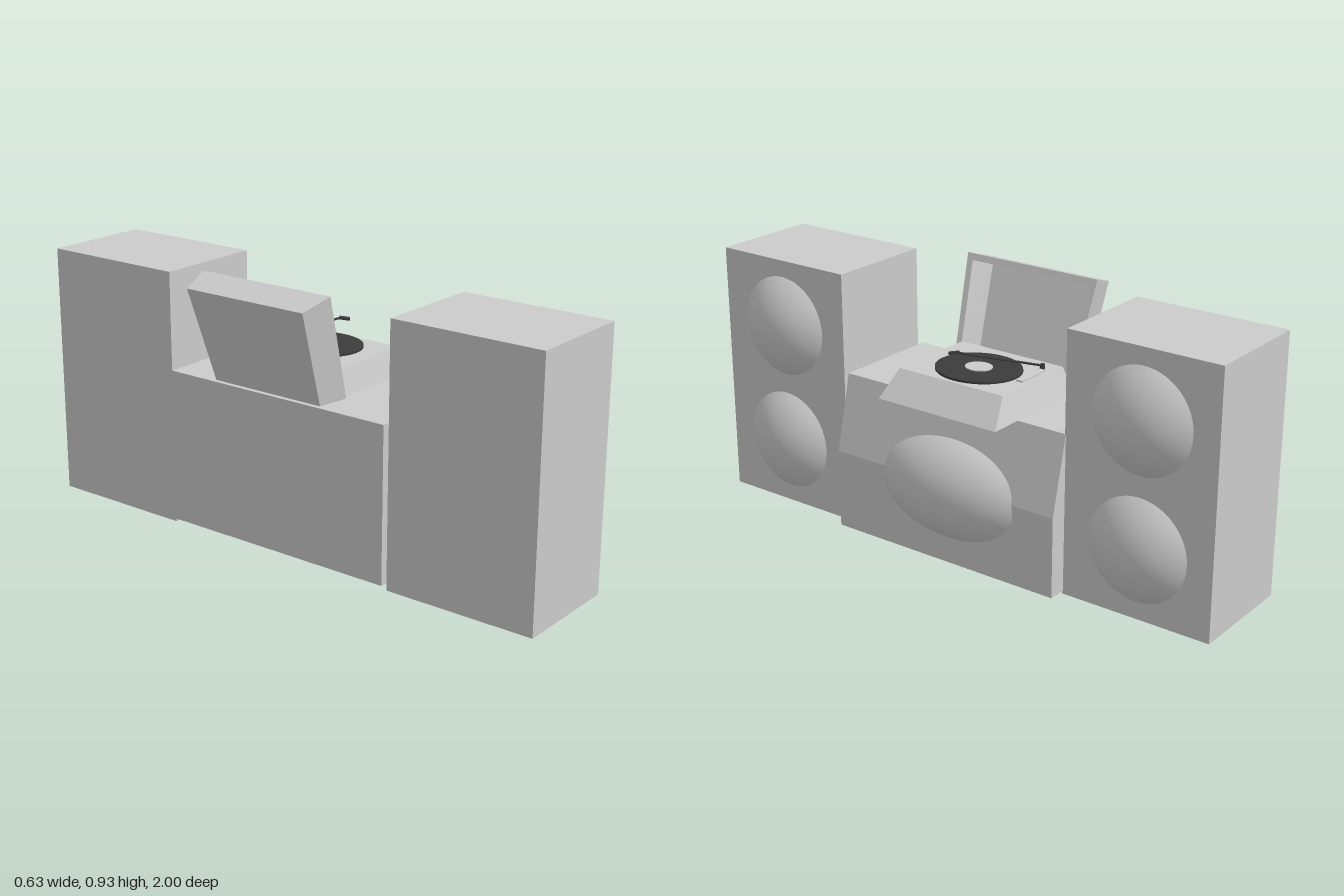
import * as THREE from 'three';

const grey = new THREE.MeshStandardMaterial({ color: 0xcccccc });
const flat = new THREE.MeshStandardMaterial({ color: 0xcccccc, flatShading: true });
const black = new THREE.MeshStandardMaterial({ color: 0x3c3c3c });

function add(parent, name, geometry, material, x = 0, y = 0, z = 0) {
  const mesh = new THREE.Mesh(geometry, material);
  mesh.name = name;
  mesh.position.set(x, y, z);
  parent.add(mesh);
  return mesh;
}

// Skin a row of four-cornered loops and close both ends
function loft(loops) {
  const out = [];
  const quad = (a, b, c, d) => out.push(...a, ...b, ...c, ...a, ...c, ...d);
  const first = loops[0], last = loops[loops.length - 1];
  quad(...first);
  for (let k = 0; k < loops.length - 1; k++) {
    const a = loops[k], b = loops[k + 1];
    for (let i = 0; i < 4; i++) {
      const j = (i + 1) % 4;
      quad(a[i], b[i], b[j], a[j]);
    }
  }
  quad(last[0], last[3], last[2], last[1]);
  const geometry = new THREE.BufferGeometry();
  geometry.setAttribute('position', new THREE.Float32BufferAttribute(out, 3));
  geometry.computeVertexNormals();
  return geometry;
}

// Horizontal rectangle, and upright tapered rectangle for the lid
const level = (y, x0, x1, z0, z1) => [[x0, y, z0], [x1, y, z0], [x1, y, z1], [x0, y, z1]];
const upright = (xt, yt, zt0, zt1, xb, yb, zb0, zb1) =>
  [[xt, yt, zt0], [xt, yt, zt1], [xb, yb, zb1], [xb, yb, zb0]];

// Shallow spherical cap bulging along +x from its base plane
function dome(radius, height) {
  const R = (radius * radius + height * height) / (2 * height);
  const g = new THREE.SphereGeometry(R, 48, 16, 0, Math.PI * 2, 0, Math.asin(radius / R));
  g.translate(0, height - R, 0);
  g.rotateZ(-Math.PI / 2);
  return g;
}

export function createModel() {
  const model = new THREE.Group();
  model.name = 'recordPlayerWithSpeakers';

  // Two tall speakers, each with two domes
  for (const side of [1, -1]) {
    const speaker = new THREE.Group();
    speaker.name = side > 0 ? 'leftSpeaker' : 'rightSpeaker';
    add(speaker, 'speakerBox', new THREE.BoxGeometry(0.396, 0.902, 0.543), grey, -0.015, 0.451, side * 0.7285);
    for (const y of [0.238, 0.665])
      add(speaker, 'speakerDome', dome(0.178, 0.072), grey, 0.183, y, side * 0.732);
    model.add(speaker);
  }

  // Middle cabinet with a sloping upper front
  const profile = new THREE.Shape([
    [-0.213, 0.01], [0.247, 0.01], [0.247, 0.29], [0.183, 0.556], [-0.213, 0.556],
  ].map(([x, y]) => new THREE.Vector2(x, y)));
  const cabinet = new THREE.ExtrudeGeometry(profile, { depth: 0.897, bevelEnabled: false });
  add(model, 'cabinet', cabinet, grey, 0, 0, -0.46);
  const bulge = add(model, 'cabinetDome', new THREE.SphereGeometry(0.217, 64, 40), grey, 0.096, 0.258, -0.034);
  bulge.scale.z = 1.73;

  // Turntable body with sloping sides
  const turntable = new THREE.Group();
  turntable.name = 'turntable';
  model.add(turntable);
  add(turntable, 'turntableBody', loft([
    level(0.563, -0.11, 0.315, -0.285, 0.19),
    level(0.652, -0.095, 0.237, -0.255, 0.163),
  ]), flat);

  // Record, label and control strip
  const disc = (name, r, h, y, material) => {
    const d = add(turntable, name, new THREE.CylinderGeometry(r, r, h, 48), material, 0.09, y, -0.05);
    d.scale.z = 1.13;
  };
  disc('record', 0.133, 0.008, 0.656, black);
  disc('recordLabel', 0.042, 0.004, 0.661, grey);
  add(turntable, 'controlStrip', new THREE.BoxGeometry(0.13, 0.006, 0.026), grey, 0.04, 0.654, -0.223);

  // Raised tone arm
  const start = new THREE.Vector3(-0.035, 0.665, -0.215);
  const end = new THREE.Vector3(0.185, 0.733, -0.03);
  add(turntable, 'toneArm', new THREE.TubeGeometry(new THREE.LineCurve3(start, end), 1, 0.004, 8), black);
  add(turntable, 'toneArmBase', new THREE.CylinderGeometry(0.009, 0.009, 0.02, 16), black, -0.035, 0.66, -0.215);
  const head = add(turntable, 'toneArmHead', new THREE.BoxGeometry(0.016, 0.008, 0.036), black, 0.185, 0.73, -0.022);
  head.rotation.set(0.15, 0.6, 0);

  // Hollow lid leaning back: back, outer rim, inner rim, inside floor
  add(turntable, 'lid', loft([
    upright(-0.318, 0.895, 0.2, -0.28, -0.205, 0.56, 0.18, -0.262),
    upright(-0.21, 0.93, 0.225, -0.305, -0.09, 0.56, 0.197, -0.28),
    upright(-0.203, 0.908, 0.2, -0.278, -0.1, 0.59, 0.178, -0.26),
    upright(-0.293, 0.88, 0.18, -0.257, -0.19, 0.58, 0.163, -0.243),
  ]), flat);

  return model;
}
